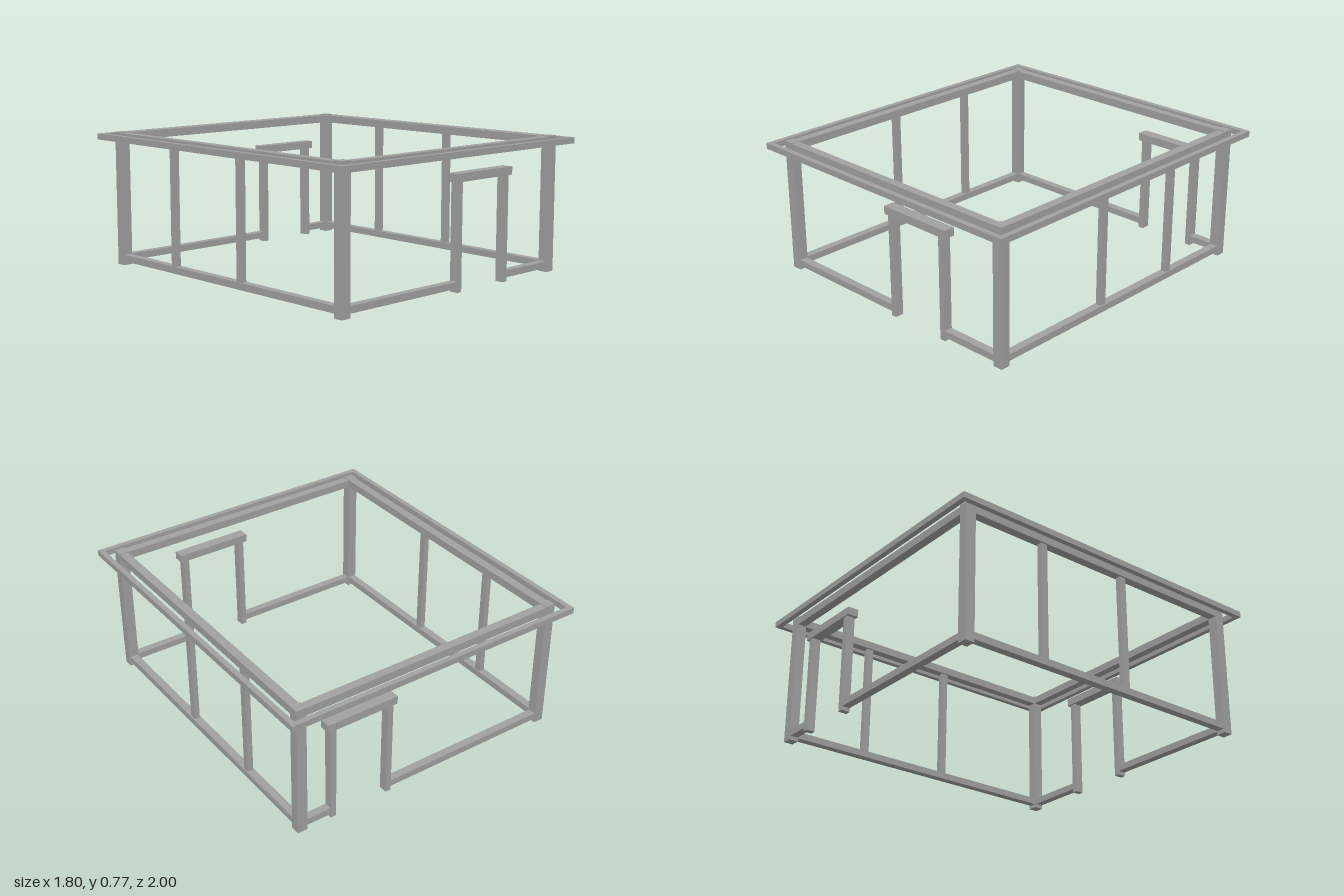
import * as THREE from 'three';

export function createModel() {
  const model = new THREE.Group();
  model.name = 'houseFrame';
  const grey = new THREE.MeshStandardMaterial({ color: 0xa0a0a0 });
  grey.name = 'grey';

  // Box given by its minimum and maximum on each axis
  function bar(name, x0, x1, y0, y1, z0, z1, parent = model) {
    const mesh = new THREE.Mesh(new THREE.BoxGeometry(x1 - x0, y1 - y0, z1 - z0), grey);
    mesh.position.set((x0 + x1) / 2, (y0 + y1) / 2, (z0 + z1) / 2);
    mesh.name = name;
    parent.add(mesh);
  }

  // Bar centred on cx, cz with widths wx, wz
  function centred(name, cx, wx, y0, y1, cz, wz, parent = model) {
    bar(name, cx - wx / 2, cx + wx / 2, y0, y1, cz - wz / 2, cz + wz / 2, parent);
  }

  const X = 0.8, Z = 0.898;          // wall centre lines
  const sill = [0.022, 0.06];        // bottom rail heights
  const beam = [0.718, 0.763];       // top beam heights
  const eave = [0.723, 0.757];       // outer roof rim heights

  for (const s of [-1, 1]) {
    // Corner posts
    for (const t of [-1, 1]) centred('cornerPost', s * X, 0.058, 0, 0.768, t * Z, 0.055);

    // Top beams
    centred('sideBeam', s * X, 0.05, ...beam, 0, 2 * Z - 0.055);
    centred('endBeam', 0, 2 * X - 0.058, ...beam, s * Z, 0.048);

    // Side walls: bottom rail and two studs
    centred('sideSill', s * X, 0.045, ...sill, 0, 2 * Z - 0.055);
    for (const z of [0.145, -0.413]) centred('stud', s * X, 0.032, sill[1], beam[0], z, 0.04);

    // Roof rim
    centred('sideRim', s * 0.885, 0.03, ...eave, 0, 2);
    centred('endRim', 0, 1.74, ...eave, s * 0.985, 0.03);
  }

  // End walls with a doorway: jambs, lintel and the rails on both sides of it
  function doorWall(name, z, jambs, lintel, top) {
    const wall = new THREE.Group();
    wall.name = name;
    for (const x of jambs) centred('doorJamb', x, 0.033, 0, top - 0.045, z, 0.05, wall);
    bar('doorLintel', lintel[0], lintel[1], top - 0.045, top, z - 0.032, z + 0.032, wall);
    bar('endSill', -X + 0.029, jambs[0] - 0.0165, ...sill, z - 0.0225, z + 0.0225, wall);
    bar('endSill', jambs[1] + 0.0165, X - 0.029, ...sill, z - 0.0225, z + 0.0225, wall);
    model.add(wall);
  }
  doorWall('frontDoorWall', Z, [0.029, 0.404], [-0.008, 0.442], 0.629);
  doorWall('backDoorWall', -Z, [0.258, 0.609], [0.221, 0.647], 0.605);

  return model;
}
